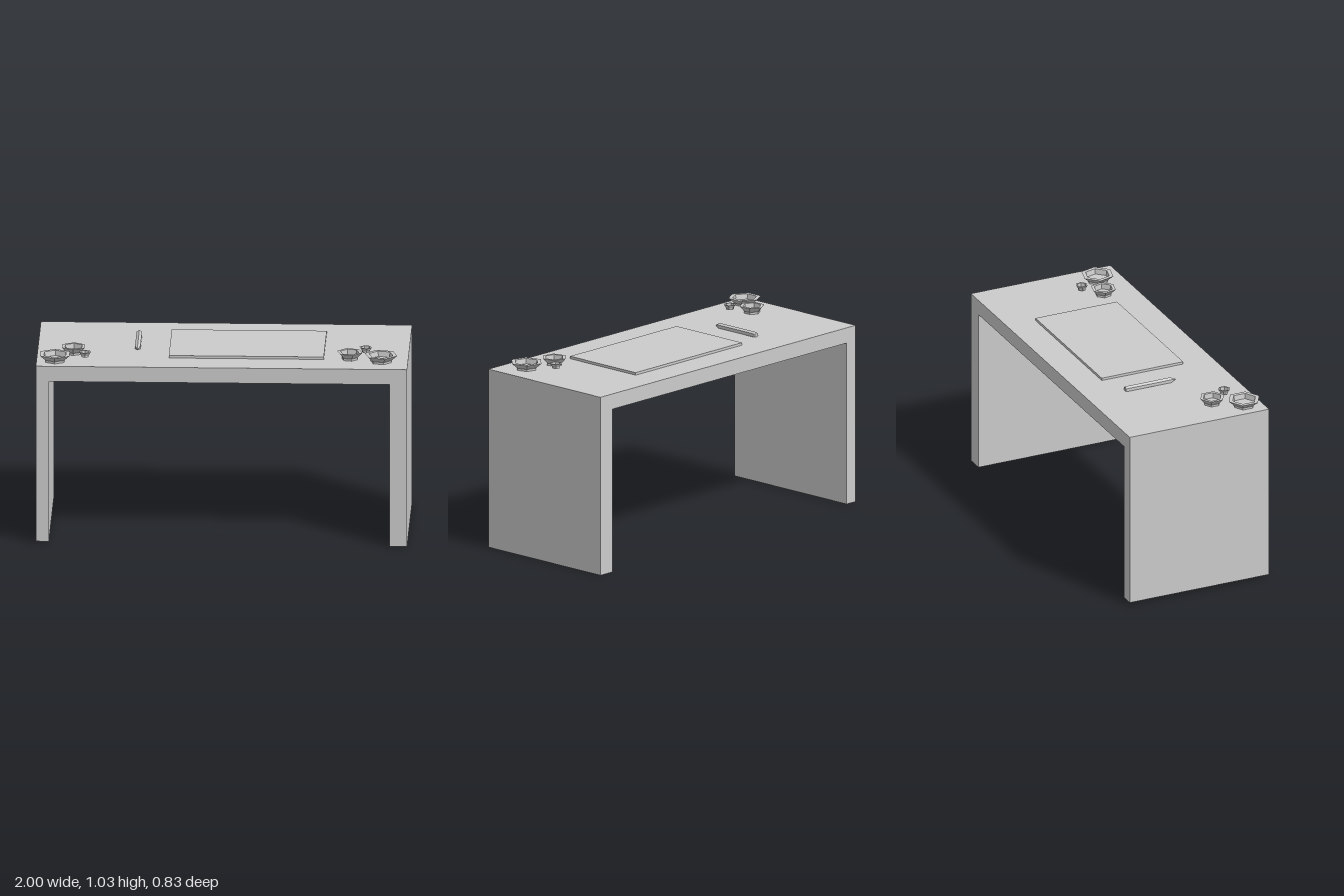
import * as THREE from 'three';

const TOP = 0.995; // height of the desk surface
const material = new THREE.MeshStandardMaterial({ color: 0xcccccc, flatShading: true });

function addPart(parent, name, geometry, x, y, z) {
  const mesh = new THREE.Mesh(geometry, material);
  mesh.name = name;
  mesh.position.set(x, y, z);
  parent.add(mesh);
  return mesh;
}

// Six-sided turned solid from [radius, height] pairs
const hexLathe = (profile) =>
  new THREE.LatheGeometry(profile.map(([r, h]) => new THREE.Vector2(r, h)), 6);

// Hexagonal bowl: narrow foot, flared underside, flat rim, steep inner wall
const bowlGeometry = (r, h) => hexLathe([
  [0, 0], [0.64 * r, 0], [0.64 * r, 0.3 * h], [r, h],
  [0.74 * r, h], [0.67 * r, 0.3 * h], [0, 0.3 * h],
]);

export function createModel() {
  const model = new THREE.Group();
  model.name = 'desk';

  // Desk frame: tabletop and two slab legs as one extruded outline
  const outline = new THREE.Shape([
    [-1, 0.01], [-0.93, 0.01], [-0.93, 0.91], [0.905, 0.91],
    [0.905, 0], [1, 0], [1, TOP], [-1, TOP],
  ].map(([x, y]) => new THREE.Vector2(x, y)));
  const frame = new THREE.ExtrudeGeometry(outline, { depth: 0.83, bevelEnabled: false });
  addPart(model, 'deskFrame', frame, 0, 0, -0.415);

  // Desk mat
  addPart(model, 'deskMat', new THREE.BoxGeometry(0.835, 0.014, 0.485), 0.128, TOP + 0.007, -0.003);

  // Pencil lying with its tip towards the front
  const pencil = hexLathe([[0, 0], [0.014, 0], [0.017, 0.005], [0.017, 0.268], [0.003, 0.298], [0, 0.298]]);
  addPart(model, 'pencil', pencil, -0.462, 1.005, -0.188).rotation.x = Math.PI / 2;

  // Two clusters of bowls: x, z, rim radius, base height, turn
  const clusters = {
    rightBowls: [[-0.9, 0.313, 0.091, TOP, 0], [-0.805, 0.168, 0.07, TOP, 0], [-0.74, 0.27, 0.034, 1.008, 0]],
    leftBowls: [[0.855, 0.27, 0.091, TOP, 0.27], [0.685, 0.225, 0.07, TOP, 0.27], [0.768, 0.135, 0.034, 1.008, 0.27]],
  };
  for (const [name, bowls] of Object.entries(clusters)) {
    const group = new THREE.Group();
    group.name = name;
    for (const [x, z, r, y, turn] of bowls) {
      addPart(group, 'bowl', bowlGeometry(r, 1.035 - y), x, y, z).rotation.y = turn;
    }
    model.add(group);
  }

  return model;
}
